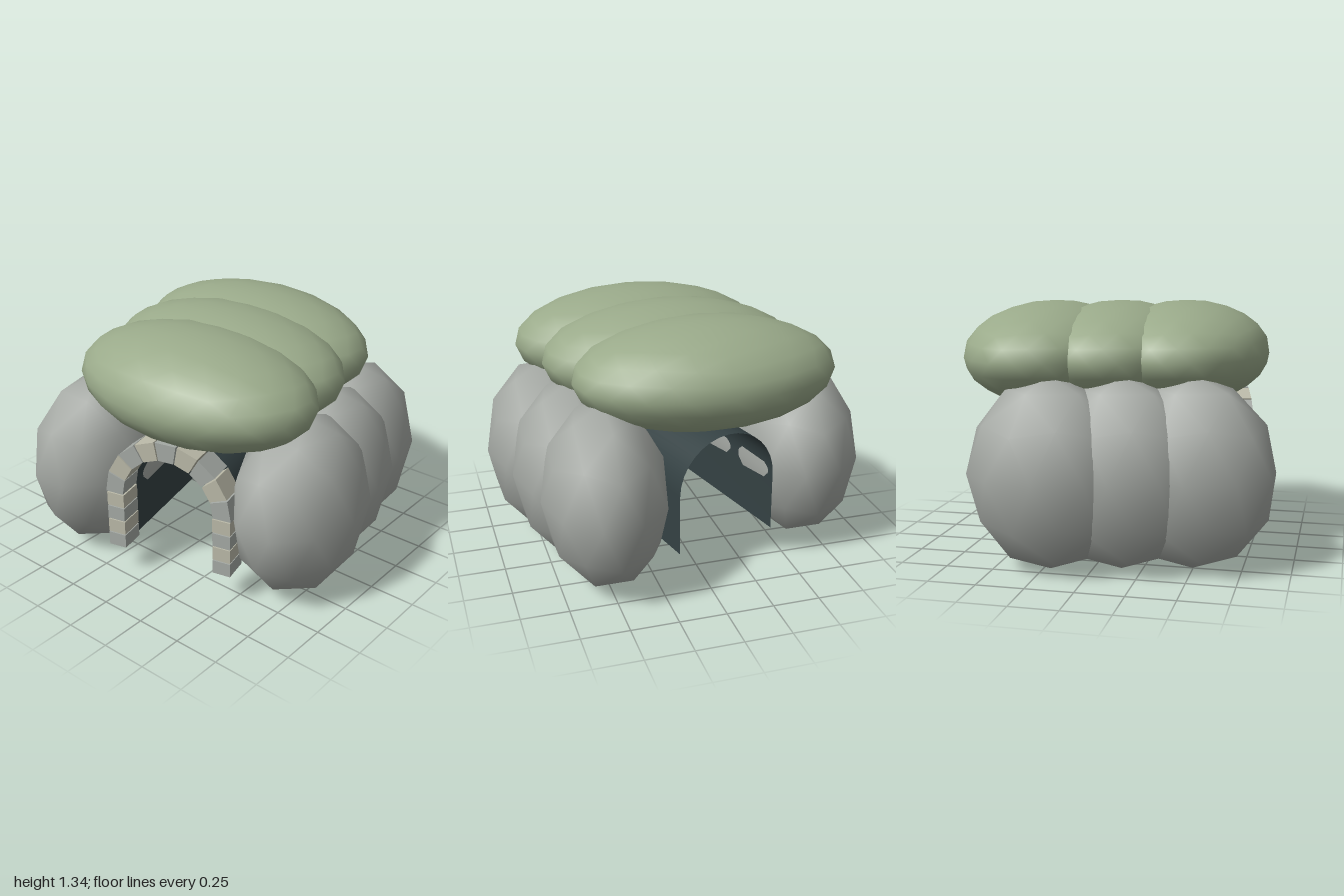
import * as THREE from 'three';

const ANGLE = 0.236;   // turn of the tunnel about y
const SPACING = 0.365; // step between neighbouring boulders along the tunnel
const FLOOR = 0.17, SPRING = 0.5, RADIUS = 0.288;

const mat = (color, extra = {}) => new THREE.MeshStandardMaterial({ color, ...extra });

// Icosphere with a vertex straight up, stretched into an ellipsoid
function ellipsoid(detail, rx, ry, rz) {
  const g = new THREE.IcosahedronGeometry(1, detail);
  g.rotateZ(-Math.atan(2 / (1 + Math.sqrt(5))));
  return g.scale(rx, ry, rz);
}

// Position given along and across the turned tunnel
function place(mesh, along, across, y) {
  const c = Math.cos(ANGLE), s = Math.sin(ANGLE);
  mesh.position.set(along * c + across * s, y, -along * s + across * c);
  return mesh;
}

// Thin vault: a plane bent into two walls and a half-round roof
function vaultGeometry(length) {
  const wall = SPRING - FLOOR, arcSteps = 16, n = arcSteps + 2;
  const g = new THREE.PlaneGeometry(length, 1, 1, n);
  const p = g.attributes.position;
  for (let i = 0; i < p.count; i++) {
    const row = Math.floor(i / 2);
    const a = Math.PI * THREE.MathUtils.clamp((row - 1) / arcSteps, 0, 1);
    const drop = row === 0 || row === n ? wall : 0;
    p.setXYZ(i, p.getX(i), SPRING + RADIUS * Math.sin(a) - drop, -RADIUS * Math.cos(a));
  }
  g.computeVertexNormals();
  return g;
}

// Arch stone: a box whose outer end (+y) may be wider
function stoneGeometry(depth, radial, width, taper = 1) {
  const g = new THREE.BoxGeometry(depth, radial, width);
  const p = g.attributes.position;
  for (let i = 0; i < p.count; i++) if (p.getY(i) > 0) p.setZ(i, p.getZ(i) * taper);
  g.computeVertexNormals();
  return g;
}

export function createModel() {
  const model = new THREE.Group();
  const rock = mat(0xa6aaa5), moss = mat(0x9aaa8a);
  const stones = [mat(0xbab9a8), mat(0xa4a9a4)];

  // Boulders on both flanks and moss cushions over the roof
  const rockGeo = ellipsoid(1, 0.43, 0.5, 0.33);
  const mossGeo = ellipsoid(3, 0.46, 0.28, 0.705);
  for (let i = -1; i <= 1; i++) {
    for (const side of [1, -1]) {
      const boulder = place(new THREE.Mesh(rockGeo, rock), i * SPACING, side * 0.6, 0.5);
      boulder.name = side > 0 ? 'frontBoulder' : 'backBoulder';
      model.add(boulder);
    }
    const cushion = place(new THREE.Mesh(mossGeo, moss), i * SPACING, 0, 1.06);
    cushion.name = 'mossCushion';
    model.add(cushion);
  }

  // Tunnel vault
  const tunnel = new THREE.Group();
  tunnel.name = 'tunnel';
  tunnel.rotation.y = ANGLE;
  const vault = new THREE.Mesh(vaultGeometry(1.2), mat(0x344143, { side: THREE.DoubleSide }));
  vault.name = 'vault';
  tunnel.add(vault);

  // Stone arch at one mouth: stacked piers, then wedge stones
  const arch = new THREE.Group();
  arch.name = 'stoneArch';
  arch.position.x = -0.64;
  const inner = 0.26, outer = 0.36, mid = (inner + outer) / 2, depth = 0.14;
  const rows = 4, rowHeight = (SPRING - FLOOR) / rows, gap = 0.006;
  const pierGeo = new THREE.BoxGeometry(depth, rowHeight - gap, outer - inner);
  for (const side of [1, -1]) {
    for (let r = 0; r < rows; r++) {
      const block = new THREE.Mesh(pierGeo, stones[(r + 1) % 2]);
      block.name = 'pierStone';
      block.position.set(0, FLOOR + (r + 0.5) * rowHeight, side * mid);
      arch.add(block);
    }
  }
  const count = 9, half = Math.PI / count / 2;
  const wedgeGeo = stoneGeometry(depth, outer - inner, 2 * inner * Math.tan(half) - gap, outer / inner);
  for (let k = 0; k < count; k++) {
    const a = (k - (count - 1) / 2) * 2 * half;
    const wedge = new THREE.Mesh(wedgeGeo, stones[(k + 1) % 2]);
    wedge.name = 'archStone';
    wedge.position.set(0, SPRING + mid * Math.cos(a), mid * Math.sin(a));
    wedge.rotation.x = a;
    arch.add(wedge);
  }
  tunnel.add(arch);
  model.add(tunnel);
  return model;
}
